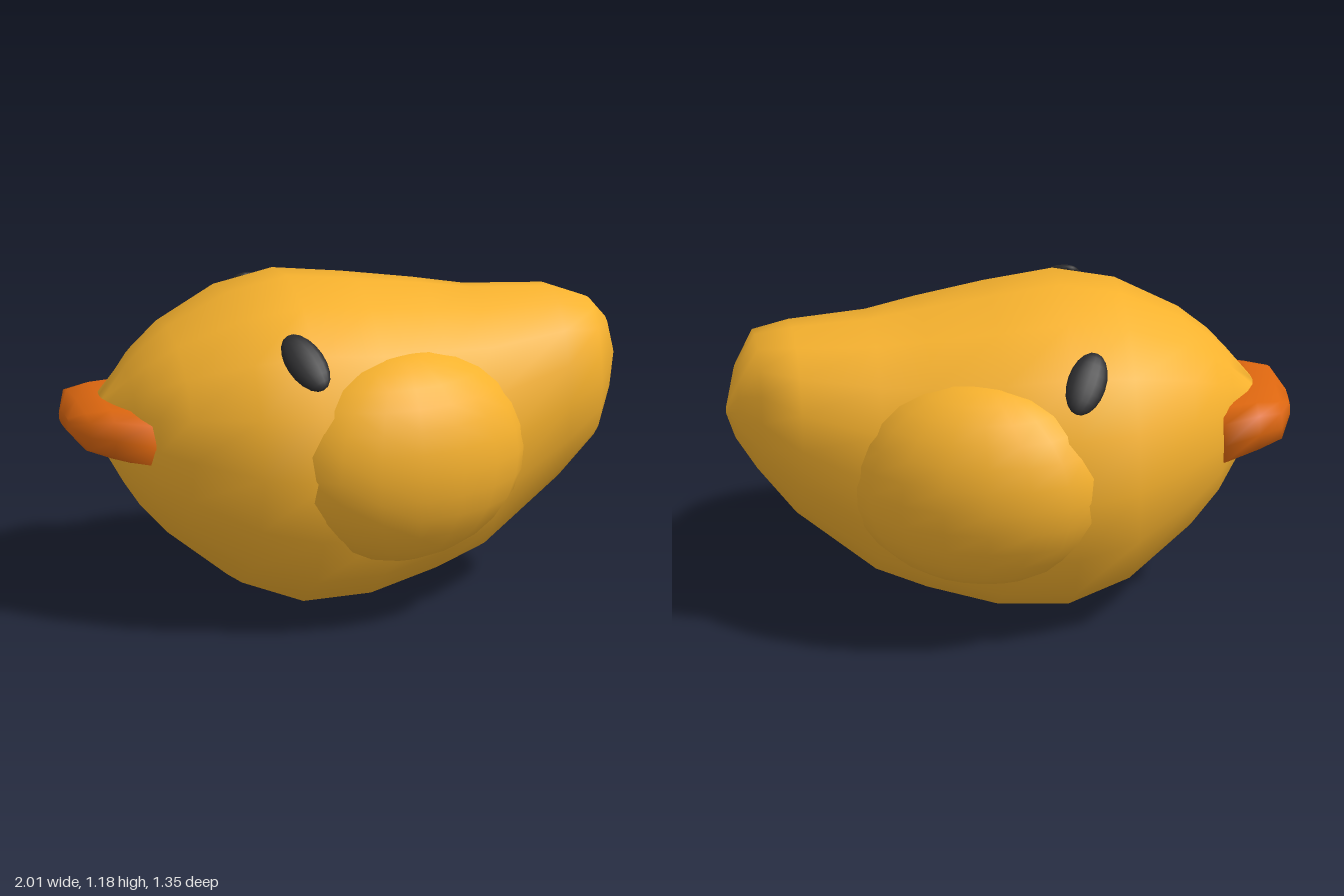
import * as THREE from 'three';

const mat = (color) => new THREE.MeshStandardMaterial({ color });

// Skins closed rings along +x; each section is [x, bottom, top, half width, z shift]
function loft(sections, sides, power) {
  const pos = [], index = [];
  const bulge = (v) => Math.sign(v) * Math.pow(Math.abs(v), power);
  for (const [x, bottom, top, half, shift = 0] of sections) {
    for (let i = 0; i < sides; i++) {
      const a = (i / sides) * Math.PI * 2;
      pos.push(x,
        (top + bottom) / 2 + bulge(Math.cos(a)) * (top - bottom) / 2,
        shift + bulge(Math.sin(a)) * half);
    }
  }
  for (let s = 0; s < sections.length - 1; s++) {
    for (let i = 0; i < sides; i++) {
      const j = (i + 1) % sides;
      const a = s * sides + i, b = s * sides + j;
      const c = a + sides, d = b + sides;
      index.push(a, b, c, b, d, c);
    }
  }
  // End caps
  for (const [ring, flip] of [[0, false], [sections.length - 1, true]]) {
    const o = ring * sides;
    for (let i = 1; i < sides - 1; i++) {
      index.push(o, ...(flip ? [o + i, o + i + 1] : [o + i + 1, o + i]));
    }
  }
  const geo = new THREE.BufferGeometry();
  geo.setAttribute('position', new THREE.Float32BufferAttribute(pos, 3));
  geo.setIndex(index);
  geo.computeVertexNormals();
  return geo;
}

function addMesh(parent, name, geo, material) {
  const mesh = new THREE.Mesh(geo, material);
  mesh.name = name;
  parent.add(mesh);
  return mesh;
}

export function createModel() {
  const model = new THREE.Group();
  model.name = 'bird';
  const yellow = mat(0xf7b22e), orange = mat(0xdc660f), dark = mat(0x2a2a2c);

  // The bird looks towards -x, turned slightly to one side
  const bird = new THREE.Group();
  bird.name = 'turnedBird';
  bird.rotation.y = -0.13;
  model.add(bird);

  // Plump body tapering to a raised, pointed tail
  addMesh(bird, 'body', loft([
    [-0.885, 0.61, 0.785, 0.10, -0.02],
    [-0.80, 0.46, 0.885, 0.215],
    [-0.74, 0.37, 0.95, 0.31],
    [-0.64, 0.26, 1.03, 0.41],
    [-0.42, 0.085, 1.14, 0.56],
    [-0.20, 0.0, 1.185, 0.605],
    [0.05, 0.01, 1.155, 0.575],
    [0.30, 0.08, 1.12, 0.49],
    [0.48, 0.15, 1.09, 0.41],
    [0.76, 0.38, 1.075, 0.315],
    [0.89, 0.53, 1.035, 0.215, 0.04],
    [0.965, 0.66, 0.94, 0.09, -0.015],
    [1.005, 0.78, 0.80, 0.005, -0.06],
  ], 16, 0.97), yellow);

  // Wide blunt beak
  addMesh(bird, 'beak', loft([
    [-1.01, 0.67, 0.72, 0.08, -0.03],
    [-0.965, 0.62, 0.77, 0.22, -0.03],
    [-0.88, 0.59, 0.785, 0.255, -0.03],
    [-0.75, 0.56, 0.785, 0.315, -0.02],
  ], 12, 0.6), orange);

  // Wing and eye on each side
  for (const side of [1, -1]) {
    const half = new THREE.Group();
    half.name = side > 0 ? 'leftSide' : 'rightSide';
    half.scale.z = side;
    bird.add(half);

    // Wing, its front end swung outwards
    const wing = addMesh(half, 'wing', new THREE.SphereGeometry(1, 18, 14), yellow);
    wing.position.set(0.135, 0.605, 0.355);
    wing.rotation.y = 0.28;
    wing.scale.set(0.475, 0.385, 0.305);

    const eye = addMesh(half, 'eye', new THREE.SphereGeometry(1, 16, 10), dark);
    eye.position.set(-0.24, 1.0, 0.44);
    eye.rotation.set(-0.74, -0.12, 0.4);
    eye.scale.set(0.07, 0.123, 0.03);
  }
  return model;
}
